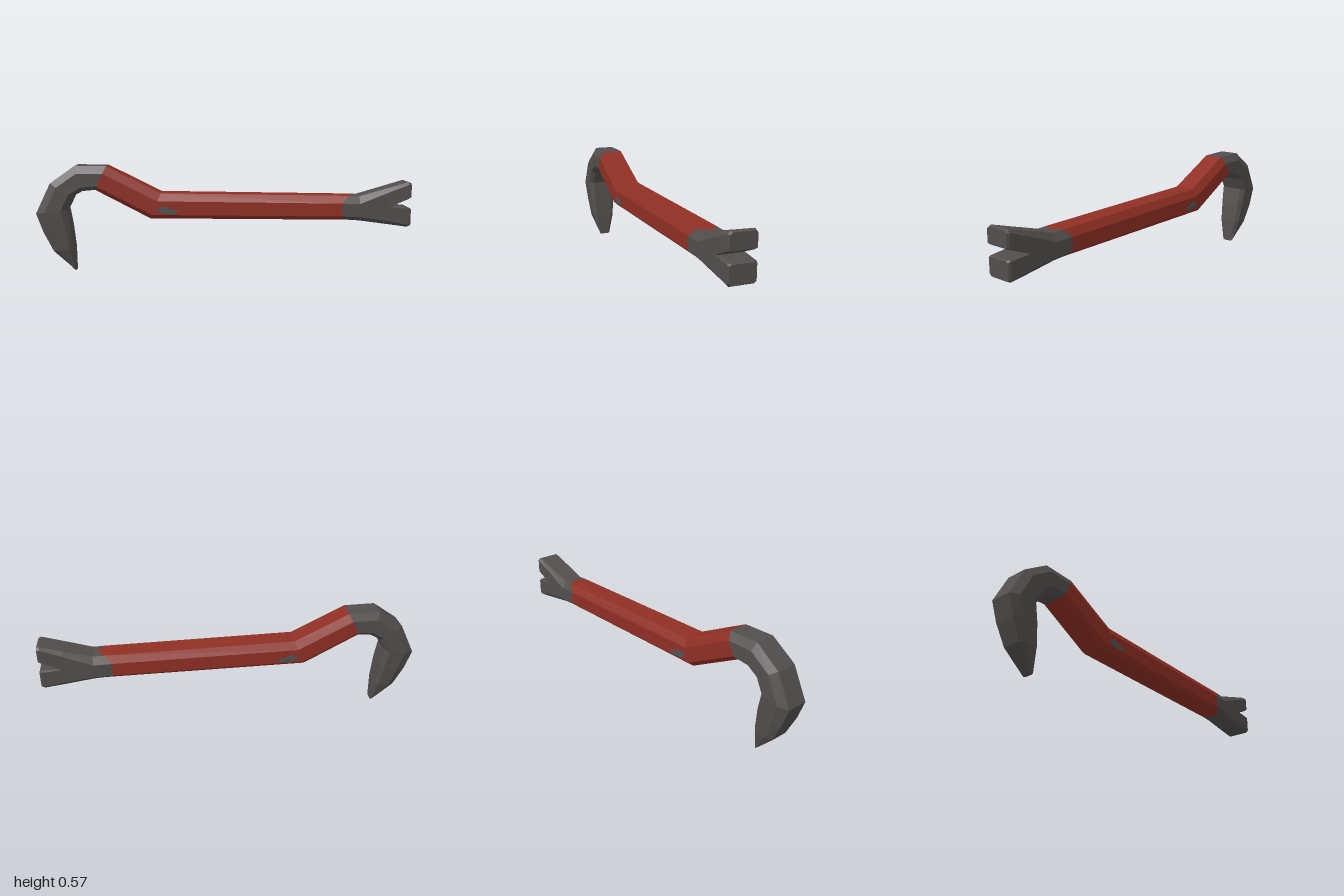
import * as THREE from 'three';

const red = new THREE.MeshStandardMaterial({ color: 0x8f2f24, flatShading: true });
red.name = 'red paint';
const steel = new THREE.MeshStandardMaterial({ color: 0x524e4d, flatShading: true });
steel.name = 'dark steel';
const scuff = new THREE.MeshStandardMaterial({ color: 0x4d5556, flatShading: true });
scuff.name = 'worn metal';

// Chamfered cross-section between an outer (top) and an inner (bottom) edge point.
// w: half width, cz: chamfer across z, co / ci: chamfer down from outer / up from inner,
// bulge: how far the middle of the flats reaches ahead in x.
function section({ o, i, w, cz = 0.024, co = 0.3, ci = 0.16, bulge = 0 }) {
  const flat = w - cz;
  const at = (t, z, dx = 0) => new THREE.Vector3(
    o[0] + (i[0] - o[0]) * t + dx, o[1] + (i[1] - o[1]) * t, z);
  return [
    at(0, 0, bulge), at(0, flat, bulge / 2), at(co, w), at(1 - ci, w), at(1, flat, bulge / 2),
    at(1, 0, bulge), at(1, -flat, bulge / 2), at(1 - ci, -w), at(co, -w), at(0, -flat, bulge / 2),
  ];
}

// Skin a row of cross-sections and close both ends.
function loft(name, stations, material) {
  const rings = stations.map(section);
  const n = rings[0].length;
  const points = [];
  for (let s = 0; s < rings.length - 1; s++) {
    for (let j = 0; j < n; j++) {
      const k = (j + 1) % n;
      const a = rings[s][j], b = rings[s][k], c = rings[s + 1][k], d = rings[s + 1][j];
      points.push(a, b, c, a, c, d);
    }
  }
  const first = rings[0], last = rings[rings.length - 1];
  for (let j = 1; j < n - 1; j++) {
    points.push(first[0], first[j + 1], first[j], last[0], last[j], last[j + 1]);
  }
  const geometry = new THREE.BufferGeometry().setFromPoints(points);
  geometry.computeVertexNormals();
  const mesh = new THREE.Mesh(geometry, material);
  mesh.name = name;
  return mesh;
}

export function createModel() {
  const group = new THREE.Group();
  group.name = 'crowbar';

  // Seams shared by neighbouring parts
  const hookSeam = { o: [-0.625, 0.565], i: [-0.685, 0.44], w: 0.077 };
  const clawSeam = { o: [0.625, 0.404], i: [0.625, 0.275], w: 0.078, bulge: 0.075 };

  // Curved hook tapering to a narrow tip
  group.add(loft('hook', [
    { o: [-0.822, 0.014], i: [-0.803, 0.0], w: 0.031, cz: 0.012 },
    { o: [-0.915, 0.11], i: [-0.81, 0.125], w: 0.064, cz: 0.016 },
    { o: [-0.965, 0.215], i: [-0.824, 0.24], w: 0.074, cz: 0.018 },
    { o: [-1.0, 0.315], i: [-0.84, 0.335], w: 0.08 },
    { o: [-0.922, 0.475], i: [-0.805, 0.405], w: 0.079 },
    { o: [-0.79, 0.568], i: [-0.752, 0.434], w: 0.077 },
    hookSeam,
  ], steel));

  // Painted bar with its bend
  group.add(loft('handle', [
    hookSeam,
    { o: [-0.34, 0.421], i: [-0.395, 0.287], w: 0.079 },
    clawSeam,
  ], red));

  // Flared claw body up to the notch
  group.add(loft('clawBody', [
    clawSeam,
    { o: [0.72, 0.402], i: [0.72, 0.271], w: 0.077 },
    { o: [0.872, 0.446], i: [0.872, 0.251], w: 0.073, cz: 0.016, co: 0.12, ci: 0.1 },
  ], steel));

  // Two prongs with slightly bevelled ends
  group.add(loft('upperProng', [
    { o: [0.872, 0.446], i: [0.872, 0.342], w: 0.073, cz: 0.016, co: 0.22, ci: 0.01 },
    { o: [0.98, 0.478], i: [0.985, 0.387], w: 0.071, cz: 0.014, co: 0.16, ci: 0.06 },
    { o: [0.996, 0.472], i: [0.996, 0.393], w: 0.066, cz: 0.012, co: 0.14, ci: 0.06 },
  ], steel));
  group.add(loft('lowerProng', [
    { o: [0.872, 0.347], i: [0.872, 0.251], w: 0.073, cz: 0.016, co: 0.01, ci: 0.2 },
    { o: [0.985, 0.341], i: [0.98, 0.236], w: 0.071, cz: 0.014, co: 0.06, ci: 0.12 },
    { o: [0.996, 0.335], i: [0.996, 0.243], w: 0.066, cz: 0.012, co: 0.06, ci: 0.12 },
  ], steel));

  // Worn patch beside the bend, on both sides
  const patch = new THREE.Shape([
    [-0.36, 0.335], [-0.33, 0.318], [-0.26, 0.313], [-0.25, 0.333], [-0.29, 0.338], [-0.33, 0.355],
  ].map(([x, y]) => new THREE.Vector2(x, y)));
  const patchGeometry = new THREE.ExtrudeGeometry(patch, { depth: 0.004, bevelEnabled: false });
  for (const side of [1, -1]) {
    const mesh = new THREE.Mesh(patchGeometry, scuff);
    mesh.name = side > 0 ? 'frontWornPatch' : 'backWornPatch';
    mesh.position.z = side > 0 ? 0.077 : -0.081;
    group.add(mesh);
  }

  return group;
}
